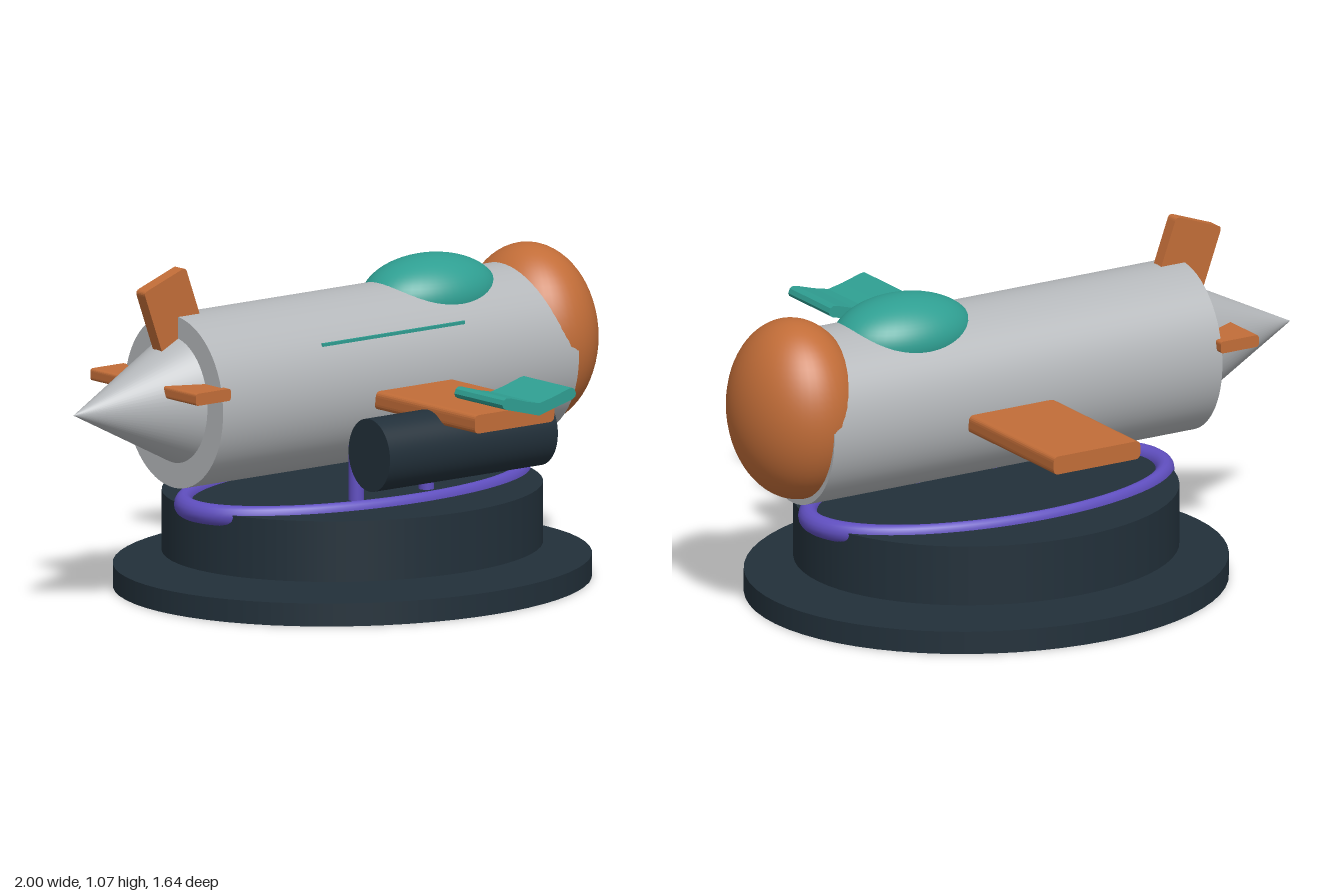
import * as THREE from 'three';

const CX = 0.102, CZ = -0.092; // shared centre line of body and stand

function mat(name, color) {
  const m = new THREE.MeshStandardMaterial({ color });
  m.name = name;
  return m;
}

// Rounded rectangle profile in x/y, centred on the origin
function roundedRect(w, h, r) {
  const s = new THREE.Shape(), x = w / 2, y = h / 2;
  s.moveTo(-x + r, -y);
  s.lineTo(x - r, -y);
  s.quadraticCurveTo(x, -y, x, -y + r);
  s.lineTo(x, y - r);
  s.quadraticCurveTo(x, y, x - r, y);
  s.lineTo(-x + r, y);
  s.quadraticCurveTo(-x, y, -x, y - r);
  s.lineTo(-x, -y + r);
  s.quadraticCurveTo(-x, -y, -x + r, -y);
  return s;
}

// Profile pushed along z, centred in depth
function slab(shape, depth) {
  const g = new THREE.ExtrudeGeometry(shape, { depth, bevelEnabled: false, curveSegments: 5 });
  return g.translate(0, 0, -depth / 2);
}

export function createModel() {
  const model = new THREE.Group();
  model.name = 'toyAircraftOnStand';
  const silver = mat('silver', 0xb4b7ba);
  const orange = mat('orange', 0xc26d38);
  const teal = mat('teal', 0x2f9f92);
  const dark = mat('darkSlate', 0x22303a);
  const purple = mat('purple', 0x604fc0);

  function add(name, geometry, material, x, y, z) {
    const mesh = new THREE.Mesh(geometry, material);
    mesh.name = name;
    mesh.position.set(x, y, z);
    model.add(mesh);
    return mesh;
  }
  const disc = (rx, h, rz) => new THREE.CylinderGeometry(1, 1, h, 64).scale(rx, 1, rz);
  const ball = (rx, ry, rz) => new THREE.SphereGeometry(1, 48, 32).scale(rx, ry, rz);
  // Oval cylinder lying along x
  const barrel = (len, ry, rz) => new THREE.CylinderGeometry(1, 1, len, 64).rotateZ(Math.PI / 2).scale(1, ry, rz);

  // Stand
  add('basePlate', disc(0.768, 0.072, 0.688), dark, CX, 0.036, CZ);
  add('drum', disc(0.612, 0.19, 0.546), dark, CX, 0.205, CZ);
  const ring = new THREE.TorusGeometry(1, 0.054, 16, 96).rotateX(Math.PI / 2).scale(0.615, 0.62, 0.33);
  add('ring', ring, purple, CX, 0.293, CZ);

  // Support posts with wheels tucked under the drum
  for (const x of [-0.037, 0.241]) {
    add('post', new THREE.CylinderGeometry(0.024, 0.024, 0.48, 24), purple, x, 0.31, 0.098);
    add('wheel', barrel(0.046, 0.1, 0.09), dark, x, 0.167, 0.094);
  }

  // Body
  add('fuselage', barrel(1.41, 0.27, 0.24), silver, 0.1, 0.65, CZ);
  add('nose', ball(0.195, 0.285, 0.24), orange, 0.802, 0.685, CZ);
  const cone = new THREE.ConeGeometry(1, 0.4, 64).rotateZ(Math.PI / 2).scale(1, 0.2, 0.17);
  add('tailCone', cone, silver, -0.8, 0.656, -0.096);
  add('canopy', ball(0.237, 0.125, 0.163), teal, 0.41, 0.86, -0.096);
  add('sideStripe', new THREE.BoxGeometry(0.565, 0.01, 0.009), teal, 0.103, 0.804, 0.105);

  // Wings and tail surfaces
  add('wings', slab(roundedRect(0.315, 0.058, 0.018), 1.45), orange, 0.158, 0.613, -0.095);
  add('stabilizers', slab(roundedRect(0.138, 0.038, 0.01), 0.515), orange, -0.656, 0.71, -0.094);
  const fin = add('tailFin', slab(roundedRect(0.175, 0.3, 0.015), 0.043), orange, -0.606, 0.9, -0.093);
  fin.rotation.z = 0.35;

  // Tank beside the body
  add('sideTank', barrel(0.665, 0.114, 0.101), dark, 0.102, 0.511, 0.4);

  // Bent plate beyond the wing tip
  const half = [[0, -0.041], [0.06, -0.025], [0.132, -0.006], [0.142, 0], [0.146, 0.01], [0.14, 0.024], [0.13, 0.03], [0.115, 0.028], [0.05, 0.009], [0, -0.002]];
  const outline = [...half, ...half.slice(1, -1).reverse().map(([x, y]) => [-x, y])];
  const chevron = new THREE.Shape(outline.map(([x, y]) => new THREE.Vector2(x, y)));
  add('bentPlate', slab(chevron, 0.235), teal, 0.102, 0.7, 0.702);

  return model;
}
